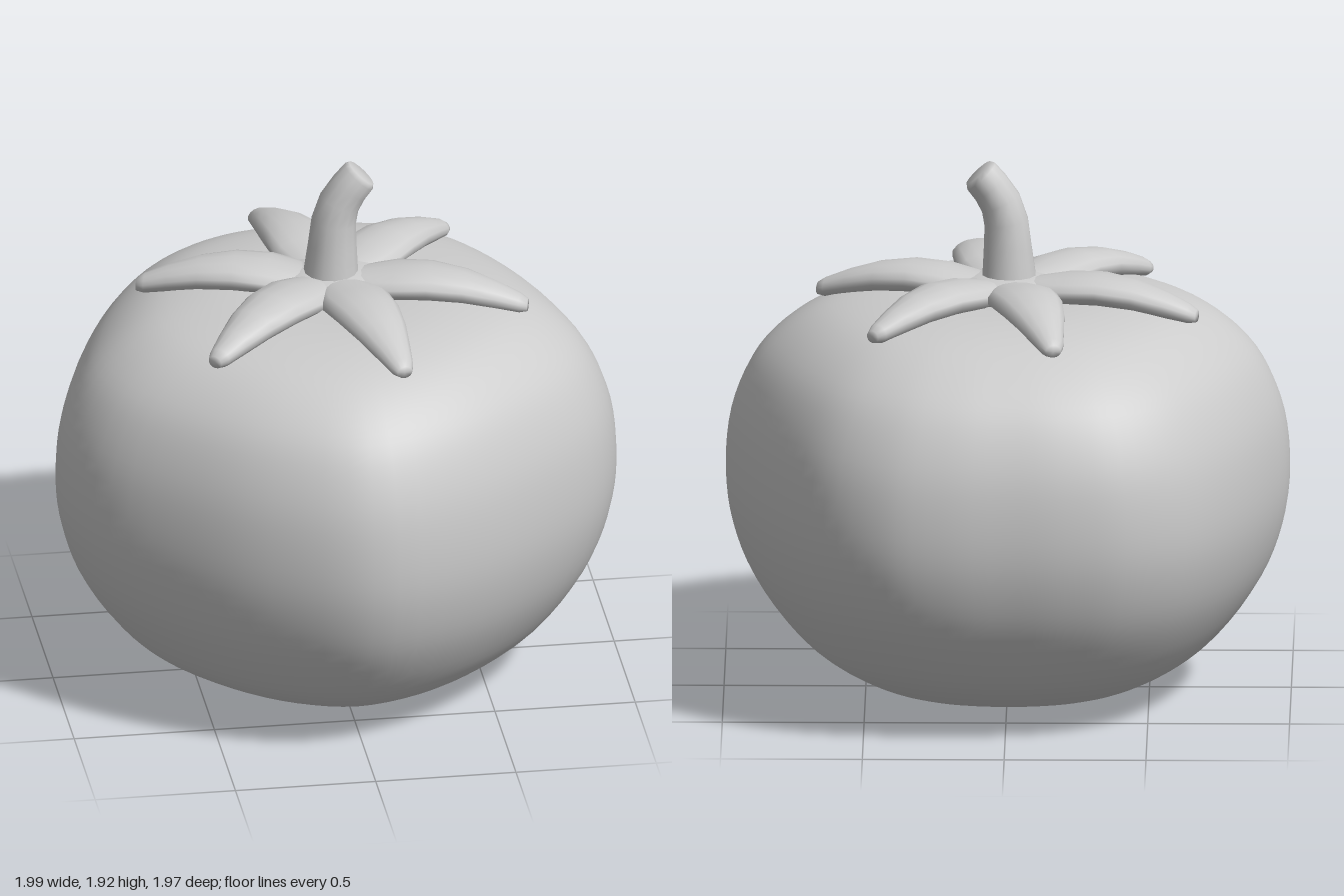
import * as THREE from 'three';

const V = (x, y, z) => new THREE.Vector3(x, y, z);

// Skin a closed surface over rings that run counter-clockwise about the travel direction
function loft(rings) {
  const n = rings[0].length, pos = [], idx = [];
  rings.forEach(r => r.forEach(p => pos.push(p.x, p.y, p.z)));
  for (let i = 0; i < rings.length - 1; i++) {
    for (let j = 0; j < n; j++) {
      const k = (j + 1) % n, a = i * n + j, b = i * n + k;
      idx.push(a, b, b + n, a, b + n, a + n);
    }
  }
  // End caps
  [0, rings.length - 1].forEach((ri, end) => {
    const c = V(0, 0, 0);
    rings[ri].forEach(p => c.addScaledVector(p, 1 / n));
    const ci = pos.length / 3;
    pos.push(c.x, c.y, c.z);
    for (let j = 0; j < n; j++) {
      const a = ri * n + j, b = ri * n + (j + 1) % n;
      if (end) idx.push(a, b, ci); else idx.push(b, a, ci);
    }
  });
  const g = new THREE.BufferGeometry();
  g.setAttribute('position', new THREE.Float32BufferAttribute(pos, 3));
  g.setIndex(idx);
  g.computeVertexNormals();
  return g;
}

// Elliptical ring around centre c, with half sizes a along u and b along v
function ellipse(c, u, v, a, b, n) {
  return Array.from({ length: n }, (_, j) => {
    const t = j / n * Math.PI * 2;
    return c.clone().addScaledVector(u, a * Math.cos(t)).addScaledVector(v, b * Math.sin(t));
  });
}

// Rounded five-sided fruit: a plan outline scaled by a side profile
function fruitGeometry() {
  const half = [[0.35, 0.86], [0.67, 0.62], [0.91, 0.35], [0.995, 0.08], [0.94, -0.21],
    [0.8, -0.56], [0.64, -0.8], [0.43, -0.94], [0.22, -0.985]];
  const plan = [[0, 0.98], ...half, [0, -0.99], ...half.slice().reverse().map(([x, z]) => [-x, z])];
  const outline = new THREE.CatmullRomCurve3(plan.map(([x, z]) => V(x, 0, z)), true)
    .getPoints(80).slice(0, 80);
  const profile = new THREE.SplineCurve([[0.02, 0.005], [0.25, 0.015], [0.45, 0.05], [0.61, 0.11],
    [0.76, 0.22], [0.9, 0.41], [0.975, 0.6], [1, 0.79], [0.98, 1], [0.91, 1.18], [0.81, 1.3],
    [0.67, 1.39], [0.5, 1.435], [0.3, 1.45], [0.02, 1.44]].map(p => new THREE.Vector2(...p)));
  return loft(profile.getPoints(56).map(({ x: s, y }) => outline.map(p => {
    const k = s * (1 + (p.length() - 1) * s) / p.length();
    return V(p.x * k, y, p.z * k);
  })));
}

// One plump sepal from the crown centre to its tip
function sepalGeometry(tipX, tipZ) {
  const root = V(0, 0, -0.04), d = V(tipX, 0, tipZ).sub(root), len = d.length();
  d.normalize();
  const up = V(0, 1, 0), side = d.clone().cross(up);
  // fraction of length, centre height, half height, half width
  const sections = [[0, 1.475, 0.035, 0.06], [0.15, 1.478, 0.04, 0.1], [0.32, 1.488, 0.053, 0.128],
    [0.5, 1.492, 0.056, 0.118], [0.68, 1.478, 0.052, 0.095], [0.84, 1.45, 0.045, 0.066],
    [0.96, 1.425, 0.034, 0.043], [1, 1.418, 0.022, 0.028]];
  return loft(sections.map(([t, y, h, w]) =>
    ellipse(root.clone().addScaledVector(d, t * len).setY(y), up, side, h, w, 14)));
}

// Stem that bends towards +x and ends in a slanted cut
function stemGeometry() {
  // x, y, radius, lean angle
  const sections = [[-0.005, 1.44, 0.105, 0], [-0.005, 1.52, 0.096, 0], [0, 1.62, 0.086, 0.04],
    [0.005, 1.71, 0.079, 0.15], [0.025, 1.78, 0.074, 0.45], [0.06, 1.835, 0.07, 0.7],
    [0.093, 1.875, 0.068, 0.75], [0.103, 1.888, 0.058, 0.75]];
  return loft(sections.map(([x, y, r, lean]) => {
    const d = V(Math.sin(lean), Math.cos(lean), 0), u = V(0, 0, 1);
    return ellipse(V(x, y, -0.03), u, d.clone().cross(u), r, r, 14);
  }));
}

export function createModel() {
  const group = new THREE.Group();
  const grey = new THREE.MeshStandardMaterial({ color: 0xcccccc });
  grey.name = 'light grey';
  const add = (geometry, name, parent = group) => {
    const mesh = new THREE.Mesh(geometry, grey);
    mesh.name = name;
    parent.add(mesh);
    return mesh;
  };

  add(fruitGeometry(), 'fruit');

  // Leafy crown of six sepals around a low hub
  const crown = new THREE.Group();
  crown.name = 'crown';
  group.add(crown);
  [[-0.17, -0.71], [0.47, -0.52], [0.67, 0.15], [0.16, 0.63], [-0.49, 0.45], [-0.67, -0.22]]
    .forEach(([x, z], i) => add(sepalGeometry(x, z), `sepal${i + 1}`, crown));
  const hub = add(new THREE.SphereGeometry(1, 24, 12), 'crownHub', crown);
  hub.scale.set(0.21, 0.055, 0.21);
  hub.position.set(0, 1.47, -0.04);

  add(stemGeometry(), 'stem');
  return group;
}
